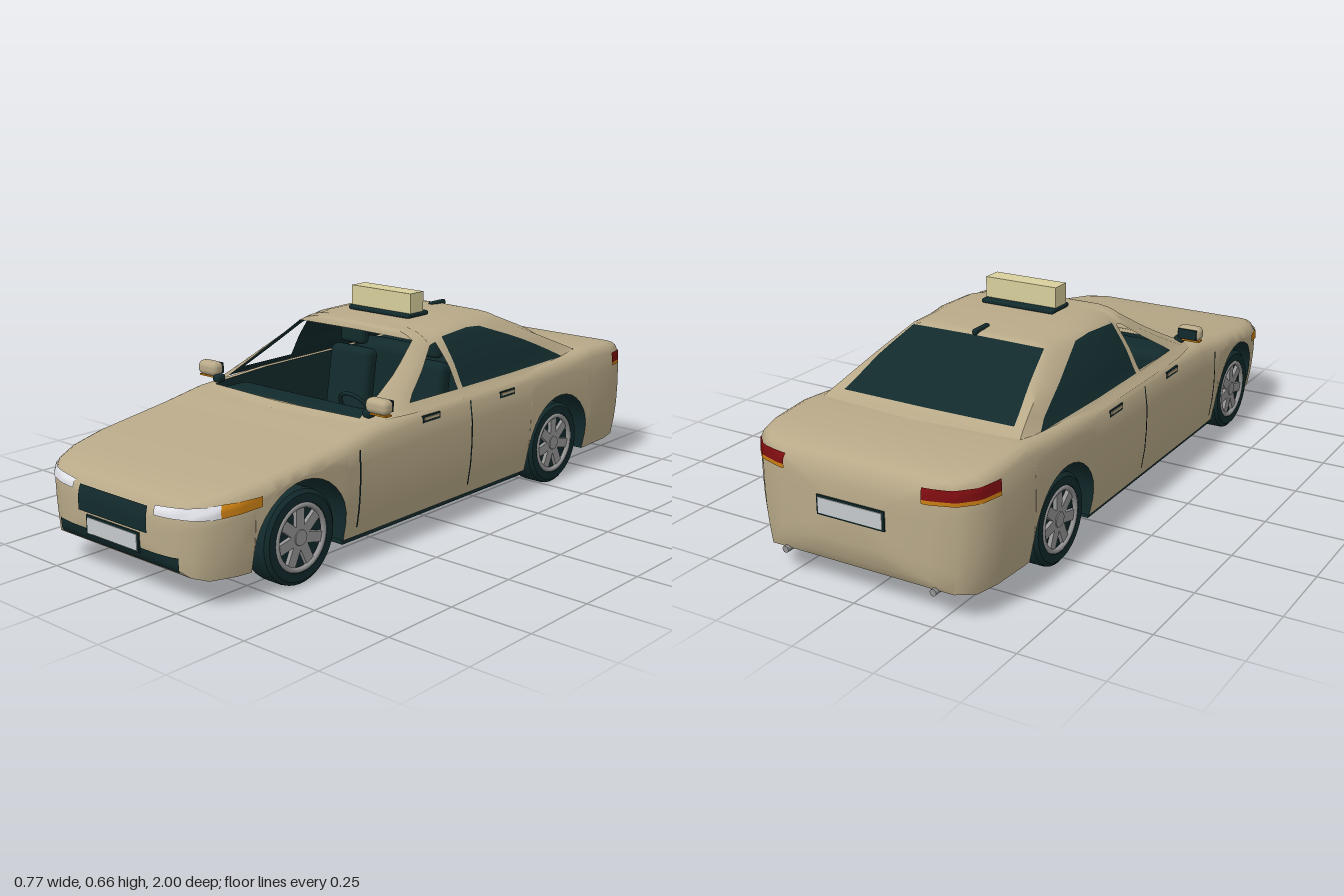
import * as THREE from 'three';
import { toCreasedNormals } from 'three/addons/utils/BufferGeometryUtils.js';
import { RoundedBoxGeometry } from 'three/addons/geometries/RoundedBoxGeometry.js';

const material = (name, color) => Object.assign(new THREE.MeshStandardMaterial({ color }), { name });
const WHEELS = [0.65, -0.535], ARCH = 0.165, HUB = 0.135;

// Body stations: z, half width, underside height, top height
const STATIONS = [
  [0.993, 0.16, 0.15, 0.235], [0.985, 0.23, 0.115, 0.262], [0.963, 0.285, 0.09, 0.283], [0.93, 0.32, 0.08, 0.297],
  [0.86, 0.35, 0.08, 0.312], [0.75, 0.37, 0.08, 0.328], [0.5, 0.378, 0.08, 0.36], [0.36, 0.38, 0.08, 0.383],
  [0.1, 0.38, 0.08, 0.397], [-0.3, 0.38, 0.08, 0.4], [-0.6, 0.38, 0.08, 0.412], [-0.72, 0.38, 0.08, 0.42],
  [-0.85, 0.372, 0.08, 0.413], [-0.92, 0.355, 0.08, 0.406], [-0.965, 0.31, 0.088, 0.393],
  [-0.985, 0.24, 0.12, 0.365], [-0.993, 0.14, 0.17, 0.32],
];

// Cabin columns, front centre to rear centre: base, window bottom, window middle, window top
const COLUMNS = [
  [[0, 0.378, 0.4], [0, 0.388, 0.36], [0, 0.48, 0.2], [0, 0.555, 0.04]],
  [[0.31, 0.38, 0.37], [0.295, 0.39, 0.345], [0.265, 0.475, 0.17], [0.23, 0.553, 0.04]],
  [[0.35, 0.385, 0.3], [0.335, 0.405, 0.26], [0.295, 0.48, 0.115], [0.25, 0.55, 0]],
  [[0.365, 0.385, 0.2], [0.34, 0.41, 0.18], [0.3, 0.475, 0.08], [0.262, 0.535, -0.005]],
  [[0.368, 0.385, -0.035], [0.345, 0.41, -0.035], [0.31, 0.475, -0.035], [0.262, 0.54, -0.03]],
  [[0.368, 0.385, -0.06], [0.345, 0.41, -0.06], [0.31, 0.48, -0.06], [0.262, 0.553, -0.06]],
  [[0.368, 0.385, -0.3], [0.345, 0.41, -0.3], [0.31, 0.48, -0.25], [0.255, 0.56, -0.19]],
  [[0.365, 0.39, -0.62], [0.335, 0.41, -0.6], [0.295, 0.49, -0.43], [0.25, 0.553, -0.26]],
  [[0.335, 0.4, -0.72], [0.315, 0.43, -0.66], [0.275, 0.5, -0.5], [0.235, 0.56, -0.36]],
  [[0.3, 0.405, -0.74], [0.28, 0.432, -0.645], [0.25, 0.505, -0.515], [0.22, 0.562, -0.385]],
  [[0, 0.41, -0.76], [0, 0.435, -0.655], [0, 0.51, -0.525], [0, 0.568, -0.395]],
];

// Closes a half section into a mirrored ring
const ring = (half) => [...half, ...half.slice(1, -1).reverse().map(([x, y, z]) => [-x, y, z])];

// Skins rings with quads; pick(row, halfQuad) gives a material index or null for an opening
function skin(rings, pick, lining) {
  const n = rings[0].length, buckets = [[], []];
  for (let i = 0; i < rings.length - 1; i++) for (let j = 0; j < n; j++) {
    const m = pick(i, Math.min(j, n - 1 - j));
    if (m === null) continue;
    const a = i * n + j, b = i * n + (j + 1) % n, c = b + n, d = a + n;
    buckets[m].push(a, d, c, a, c, b);
    if (lining) buckets[1].push(a, c, d, a, b, c);
  }
  const g = new THREE.BufferGeometry();
  g.setAttribute('position', new THREE.Float32BufferAttribute(rings.flat(2), 3));
  g.setIndex(buckets.flat());
  g.addGroup(0, buckets[0].length, 0);
  g.addGroup(buckets[0].length, buckets[1].length, 1);
  return toCreasedNormals(g, 0.7);
}

function bodySection(z) {
  const k = Math.max(1, STATIONS.findIndex((s) => s[0] <= z));
  const a = STATIONS[k - 1], b = STATIONS[k], t = (z - a[0]) / (b[0] - a[0]);
  const [w, low, top] = [1, 2, 3].map((c) => a[c] + (b[c] - a[c]) * t);
  let y0 = low;
  for (const c of WHEELS) {
    const d = Math.abs(z - c);
    if (d <= ARCH + 1e-6) y0 = HUB + Math.sqrt(Math.max(0, ARCH * ARCH - d * d));
  }
  const wide = (y) => w * (1 - 1.9 * Math.min(0, y - 0.25) ** 2 - 2 * Math.max(0, y - 0.29) ** 2);
  const inner = z < 0.34 && z > -0.35 ? 0.12 : top;
  const half = [[0, y0], [wide(y0) / 2, y0], [wide(y0), y0]];
  for (let s = 1; s <= 5; s++) {
    const y = y0 + (top - 0.03 - y0) * s / 5;
    half.push([wide(y), y]);
  }
  half.push([w * 0.955, top - 0.01], [w * 0.91, top - 0.002], [w * 0.85, top], [w * 0.84, inner], [0, inner]);
  return ring(half.map(([x, y]) => [x, y, z]));
}

export function createModel() {
  const car = new THREE.Group();
  car.name = 'car';
  const paint = material('beige paint', 0xb8a988), dark = material('dark trim', 0x122a2c);
  const silver = material('wheel silver', 0x959494), lamp = material('lamp white', 0xe6e8ee);
  const plate = material('plate grey', 0xc6cacc), amber = material('amber', 0xc67c12);
  const red = material('lamp red', 0x7c0d10), cream = material('sign cream', 0xd8cf9c);

  const add = (name, geometry, mat, x = 0, y = 0, z = 0, parent = car) => {
    const m = new THREE.Mesh(geometry, mat);
    m.name = name;
    m.position.set(x, y, z);
    parent.add(m);
    return m;
  };
  const box = (name, mat, w, h, d, x, y, z) => add(name, new THREE.BoxGeometry(w, h, d), mat, x, y, z);
  const soft = (name, mat, w, h, d, x, y, z) =>
    add(name, new RoundedBoxGeometry(w, h, d, 3, Math.min(w, h, d) * 0.4), mat, x, y, z);

  // Lower body with tunnels for the wheels and an open passenger well
  const zs = [...STATIONS.map((s) => s[0]), 0.3405, 0.3395, -0.3495, -0.3505, -0.65];
  for (const c of WHEELS) {
    zs.push(c + ARCH + 0.0006, c - ARCH - 0.0006);
    for (let k = 0; k <= 16; k++) zs.push(c + ARCH * Math.cos(k * Math.PI / 16));
  }
  zs.sort((a, b) => b - a);
  const sections = zs.map(bodySection);
  const tip = (s, y) => s.map(() => [0, y, s[0][2]]);
  const rings = [tip(sections[0], 0.19), ...sections, tip(sections.at(-1), 0.25)];
  const body = add('body', skin(rings, (i, j) => {
    const z = (rings[i][0][2] + rings[i + 1][0][2]) / 2;
    if (j < 2) return Math.abs(z) > 0.965 ? 0 : 1;
    return j >= 10 && z < 0.345 && z > -0.65 ? 1 : 0;
  }), [paint, dark]);
  box('underbody', dark, 0.7, 0.025, 0.84, 0, 0.0775, 0.06);

  // Cabin: pillars, roof and glass in one skin, open at windscreen and front doors
  const curves = COLUMNS.map((c) => new THREE.CatmullRomCurve3(c.map((p) => new THREE.Vector3(-p[0], p[1], p[2]))));
  const levels = [];
  for (let k = 0; k <= 9; k++) levels.push(ring(curves.map((c) => c.getPoint(k / 9).toArray())));
  for (const f of [0.06, 0.14, 0.28, 0.6, 1]) levels.push(ring(curves.map((c) => {
    const [x, y, z] = c.getPoint(1).toArray();
    const zc = -0.17 + (z + 0.17) * 0.85, yc = 0.585 - 0.25 * (zc + 0.17) ** 2;
    return [x * (1 - f), y + (yc - y) * (1 - (1 - f) ** 6), z + (zc - z) * f];
  })));
  add('cabin', skin(levels, (i, j) => {
    if (i < 3 || i > 8) return 0;
    if (j === 0 || j === 3) return null;
    return j === 5 || j === 6 || j === 9 ? 1 : 0;
  }, true), [paint, dark]);

  // Thin patches wrapped on the body, swept by angle about an upright axis at axisZ
  body.updateMatrixWorld();
  const caster = new THREE.Raycaster();
  const patch = (name, mat, axisZ, a0, a1, low, high) => {
    const n = Math.max(2, Math.ceil((a1 - a0) * 30)), g = new THREE.PlaneGeometry(1, 1, n, 4);
    const p = g.attributes.position;
    for (let i = 0; i < p.count; i++) {
      const u = p.getX(i) + 0.5, v = p.getY(i) + 0.5, a = a0 + (a1 - a0) * u;
      const lo = low[0] + (low[1] - low[0]) * u, hi = high[0] + (high[1] - high[0]) * u;
      const out = new THREE.Vector3(Math.sin(a), 0, Math.cos(a));
      const from = new THREE.Vector3(0, lo + (hi - lo) * v, axisZ).addScaledVector(out, 2);
      caster.set(from, out.clone().negate());
      const hit = caster.intersectObject(body)[0];
      const q = (hit ? hit.point : from.addScaledVector(out, -1.6)).addScaledVector(out, 0.004);
      p.setXYZ(i, q.x, q.y, q.z);
    }
    g.computeVertexNormals();
    add(name, g, mat);
  };
  const patches = (name, mat, axisZ, a0, a1, low, high) => {
    patch(name + 'Left', mat, axisZ, a0, a1, low, high);
    patch(name + 'Right', mat, axisZ, -a1, -a0, [low[1], low[0]], [high[1], high[0]]);
  };
  patch('grille', dark, 0.5, -0.276, 0.276, [0.19, 0.19], [0.262, 0.262]);
  patch('lowerIntake', dark, 0.5, -0.47, 0.47, [0.1, 0.1], [0.143, 0.143]);
  patches('headlight', lamp, 0.5, 0.325, 0.68, [0.245, 0.25], [0.268, 0.285]);
  patches('indicator', amber, 0.5, 0.68, 0.89, [0.25, 0.262], [0.285, 0.29]);
  patches('tailLight', red, -0.5, Math.PI - 0.81, Math.PI - 0.42, [0.35, 0.345], [0.383, 0.375]);
  patches('rearIndicator', amber, -0.5, Math.PI - 0.81, Math.PI - 0.42, [0.339, 0.334], [0.35, 0.345]);
  for (const z of [0.44, -0.06]) patches('doorSeam', dark, z, Math.PI / 2 - 0.008, Math.PI / 2 + 0.008, [0.11, 0.11], z > 0 ? [0.335, 0.335] : [0.375, 0.375]);

  // Number plates
  for (const [s, y] of [[1, 0.155], [-1, 0.26]]) {
    box('plateFrame', dark, 0.216, 0.056, 0.012, 0, y, s * 0.992);
    box('plate', plate, 0.204, 0.045, 0.004, 0, y, s * 0.998);
  }

  // Roof sign, fin aerial and high brake light
  soft('signBase', dark, 0.246, 0.014, 0.1, 0, 0.592, -0.12);
  box('roofSign', cream, 0.24, 0.062, 0.062, 0, 0.63, -0.115);
  soft('aerial', dark, 0.016, 0.018, 0.075, 0, 0.577, -0.365);
  box('highBrakeLight', red, 0.12, 0.008, 0.02, 0, 0.45, -0.54);

  // Paired side parts
  for (const s of [1, -1]) {
    soft('mirror', paint, 0.08, 0.045, 0.045, s * 0.345, 0.429, 0.32);
    box('mirrorGlass', dark, 0.062, 0.032, 0.006, s * 0.345, 0.429, 0.297);
    box('mirrorIndicator', amber, 0.065, 0.005, 0.025, s * 0.348, 0.405, 0.32);
    soft('mirrorMount', dark, 0.03, 0.026, 0.035, s * 0.308, 0.402, 0.32);
    for (const z of [0.125, -0.245]) {
      box('handleRecess', dark, 0.012, 0.02, 0.078, s * 0.371, 0.362, z);
      box('doorHandle', paint, 0.008, 0.009, 0.066, s * 0.376, 0.363, z);
    }
    soft('seatCushion', dark, 0.17, 0.09, 0.2, s * 0.15, 0.2, 0.01);
    soft('seatBack', dark, 0.17, 0.27, 0.06, s * 0.15, 0.32, -0.11).rotation.x = -0.15;
    soft('headrest', dark, 0.1, 0.07, 0.04, s * 0.153, 0.497, -0.135);
    const pipe = add('exhaust', new THREE.CylinderGeometry(0.01, 0.01, 0.05, 12), silver, s * 0.24, 0.087, -0.955);
    pipe.rotation.x = Math.PI / 2;
  }

  // Interior
  soft('dashboard', dark, 0.6, 0.09, 0.13, 0, 0.338, 0.28);
  box('console', dark, 0.06, 0.16, 0.3, 0, 0.2, 0.1);
  soft('rearBench', dark, 0.58, 0.28, 0.09, 0, 0.3, -0.32);
  const wheelRim = add('steeringWheel', new THREE.TorusGeometry(0.055, 0.006, 8, 28), dark, 0.15, 0.368, 0.2);
  wheelRim.rotation.x = 0.6;

  // Wheels: tyre, rim ring, spokes and hub
  const tyre = toCreasedNormals(new THREE.LatheGeometry([[0, -0.04], [0.09, -0.045], [0.122, -0.045], [0.133, -0.036], [0.135, -0.025],
    [0.135, 0.025], [0.133, 0.036], [0.122, 0.045], [0.098, 0.045], [0.094, 0.028], [0, 0.028]].map((p) => new THREE.Vector2(...p)), 40), 0.6);
  tyre.rotateZ(-Math.PI / 2);
  const rim = new THREE.TorusGeometry(0.09, 0.008, 8, 40).rotateY(Math.PI / 2);
  const hub = new THREE.CylinderGeometry(0.022, 0.026, 0.02, 20).rotateZ(-Math.PI / 2);
  const spoke = new THREE.BoxGeometry(0.012, 0.075, 0.03).translate(0, 0.052, 0);
  for (const z of WHEELS) for (const s of [1, -1]) {
    const wheel = new THREE.Group();
    wheel.name = z > 0 ? 'frontWheel' : 'rearWheel';
    wheel.position.set(s * 0.315, HUB, z);
    wheel.rotation.y = s > 0 ? 0 : Math.PI;
    add('tyre', tyre, dark, 0, 0, 0, wheel);
    add('rim', rim, silver, 0.04, 0, 0, wheel);
    add('hub', hub, silver, 0.034, 0, 0, wheel);
    for (let k = 0; k < 7; k++) add('spoke', spoke, silver, 0.035, 0, 0, wheel).rotation.x = k * Math.PI * 2 / 7;
    car.add(wheel);
  }
  return car;
}
